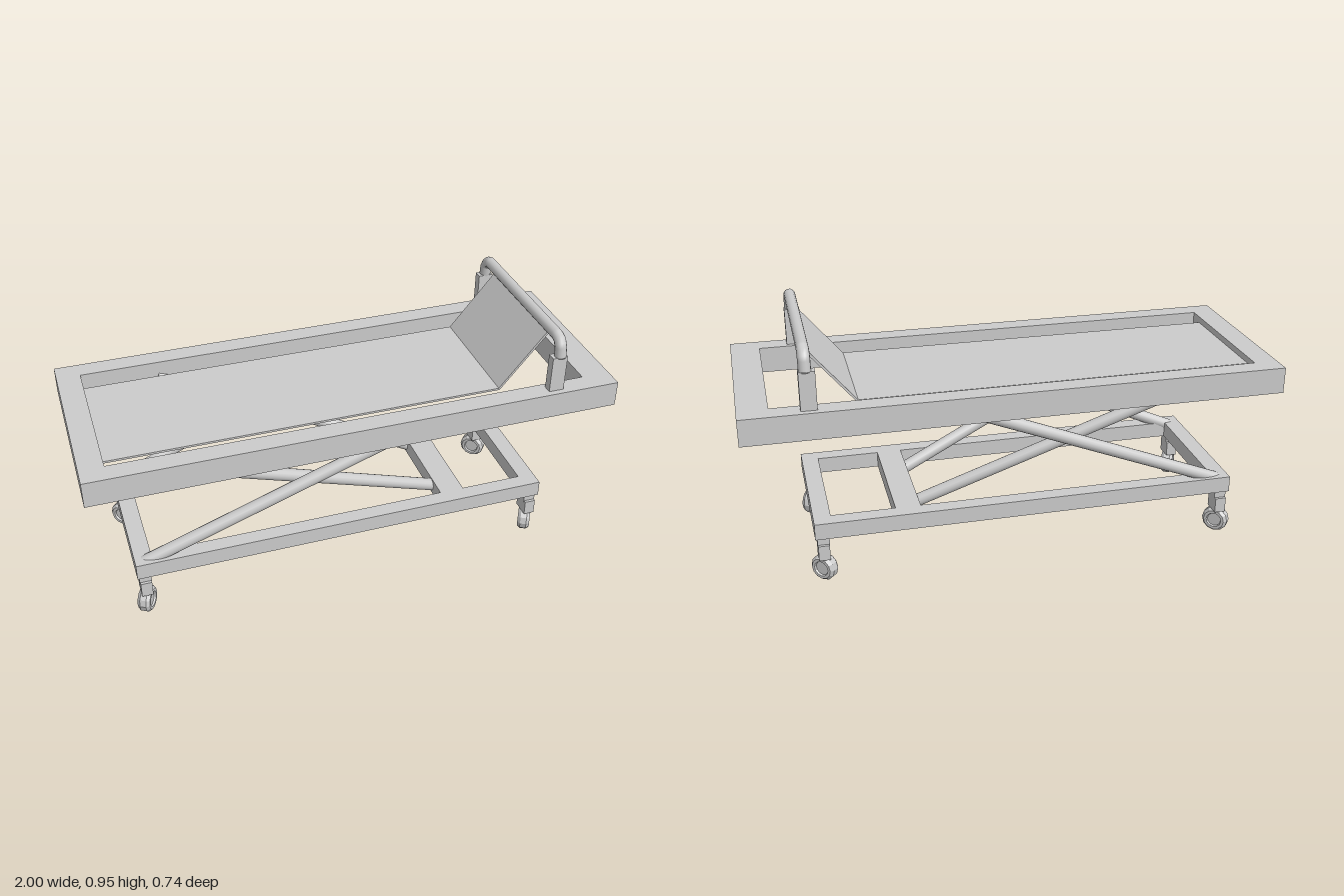
import * as THREE from 'three';

const V = (x, y, z) => new THREE.Vector3(x, y, z);

export function createModel() {
  const model = new THREE.Group();
  const grey = new THREE.MeshStandardMaterial({ color: 0xcccccc });
  const faceted = new THREE.MeshStandardMaterial({ color: 0xcccccc, flatShading: true });
  const doubleSided = new THREE.MeshStandardMaterial({ color: 0xcccccc, side: THREE.DoubleSide });

  function add(name, geometry, material = grey, parent = model) {
    const mesh = new THREE.Mesh(geometry, material);
    mesh.name = name;
    parent.add(mesh);
    return mesh;
  }

  function box(name, x, y, z, w, h, d, parent = model) {
    const mesh = add(name, new THREE.BoxGeometry(w, h, d), grey, parent);
    mesh.position.set(x, y, z);
    return mesh;
  }

  // Round bar running between two points
  function bar(name, a, b, radius) {
    const dir = b.clone().sub(a);
    const mesh = add(name, new THREE.CylinderGeometry(radius, radius, dir.length(), 16));
    mesh.position.copy(a).add(b).multiplyScalar(0.5);
    mesh.quaternion.setFromUnitVectors(V(0, 1, 0), dir.normalize());
  }

  // Flat rectangle outline in x and z
  function trace(path, x0, x1, z) {
    path.moveTo(x0, -z);
    path.lineTo(x1, -z);
    path.lineTo(x1, z);
    path.lineTo(x0, z);
    path.closePath();
    return path;
  }

  // Rectangular frame with rectangular openings, each [x0, x1, half depth]
  function frame(name, y0, y1, outer, openings) {
    const shape = trace(new THREE.Shape(), ...outer);
    openings.forEach(o => shape.holes.push(trace(new THREE.Path(), ...o)));
    const geo = new THREE.ExtrudeGeometry(shape, { depth: y1 - y0, bevelEnabled: false });
    geo.rotateX(-Math.PI / 2);
    add(name, geo).position.y = y0;
  }

  frame('bedFrame', 0.62, 0.72, [-1, 1, 0.372], [[-0.91, 0.89, 0.296]]);
  // Base frame with a cross member near the head end
  frame('baseFrame', 0.185, 0.248, [-0.85, 0.765, 0.3],
    [[-0.785, 0.365, 0.24], [0.46, 0.7, 0.24]]);

  // Thin mattress sheet, bent up to the head rail
  const profile = new THREE.Shape();
  [[-0.915, 0.688], [0.579, 0.688], [0.764, 0.91], [0.756, 0.915], [0.575, 0.696], [-0.915, 0.696]]
    .forEach(([x, y], i) => (i ? profile.lineTo(x, y) : profile.moveTo(x, y)));
  const sheet = new THREE.ExtrudeGeometry(profile, { depth: 0.476, bevelEnabled: false });
  sheet.translate(0, 0, -0.238);
  add('mattressSheet', sheet, doubleSided);

  // Head rail with bent-down ends
  const railPath = new THREE.CurvePath();
  const bends = [[0.86, 0.336], [0.9, 0.331], [0.921, 0.317], [0.929, 0.297]];
  const points = [
    ...bends.map(([y, z]) => V(0.76, y, z)),
    ...bends.slice().reverse().map(([y, z]) => V(0.76, y, -z)),
  ];
  for (let i = 1; i < points.length; i++) railPath.add(new THREE.LineCurve3(points[i - 1], points[i]));
  add('headRail', new THREE.TubeGeometry(railPath, 80, 0.022, 14), doubleSided);

  // Caster profile: rounded tyre with a recessed hub on both faces
  const half = [[0, 0.017], [0.027, 0.017], [0.03, 0.024], [0.041, 0.024], [0.051, 0.012]];
  const wheelProfile = [
    ...half.map(([r, y]) => new THREE.Vector2(r, -y)),
    ...half.slice().reverse().map(([r, y]) => new THREE.Vector2(r, y)),
  ];
  const wheelGeo = new THREE.LatheGeometry(wheelProfile, 12);

  for (const s of [1, -1]) {
    // Rail posts and the closed rail ends above them
    box('railPost', 0.755, 0.785, s * 0.332, 0.058, 0.155, 0.034);
    const cap = add('railEnd', new THREE.CircleGeometry(0.022, 14), doubleSided);
    cap.rotation.x = Math.PI / 2;
    cap.position.set(0.76, 0.86, s * 0.336);

    // Crossed scissor legs
    bar('outerScissorLeg', V(-0.825, 0.222, s * 0.257), V(0.2, 0.652, s * 0.324), 0.024);
    bar('innerScissorLeg', V(0.37, 0.215, s * 0.143), V(-0.62, 0.651, s * 0.307), 0.024);

    // Swivelled casters
    for (const x of [-0.82, 0.735]) {
      const caster = new THREE.Group();
      caster.name = 'caster';
      caster.position.set(x, 0, s * 0.263);
      model.add(caster);
      box('casterStem', 0, 0.17, 0, 0.045, 0.04, 0.048, caster);
      box('casterFork', 0, 0.125, 0, 0.042, 0.06, 0.07, caster);
      const wheel = add('casterWheel', wheelGeo, faceted, caster);
      wheel.position.y = 0.051;
      wheel.rotation.set(0, s > 0 ? -0.52 : 0.85, -Math.PI / 2);
    }
  }
  return model;
}
